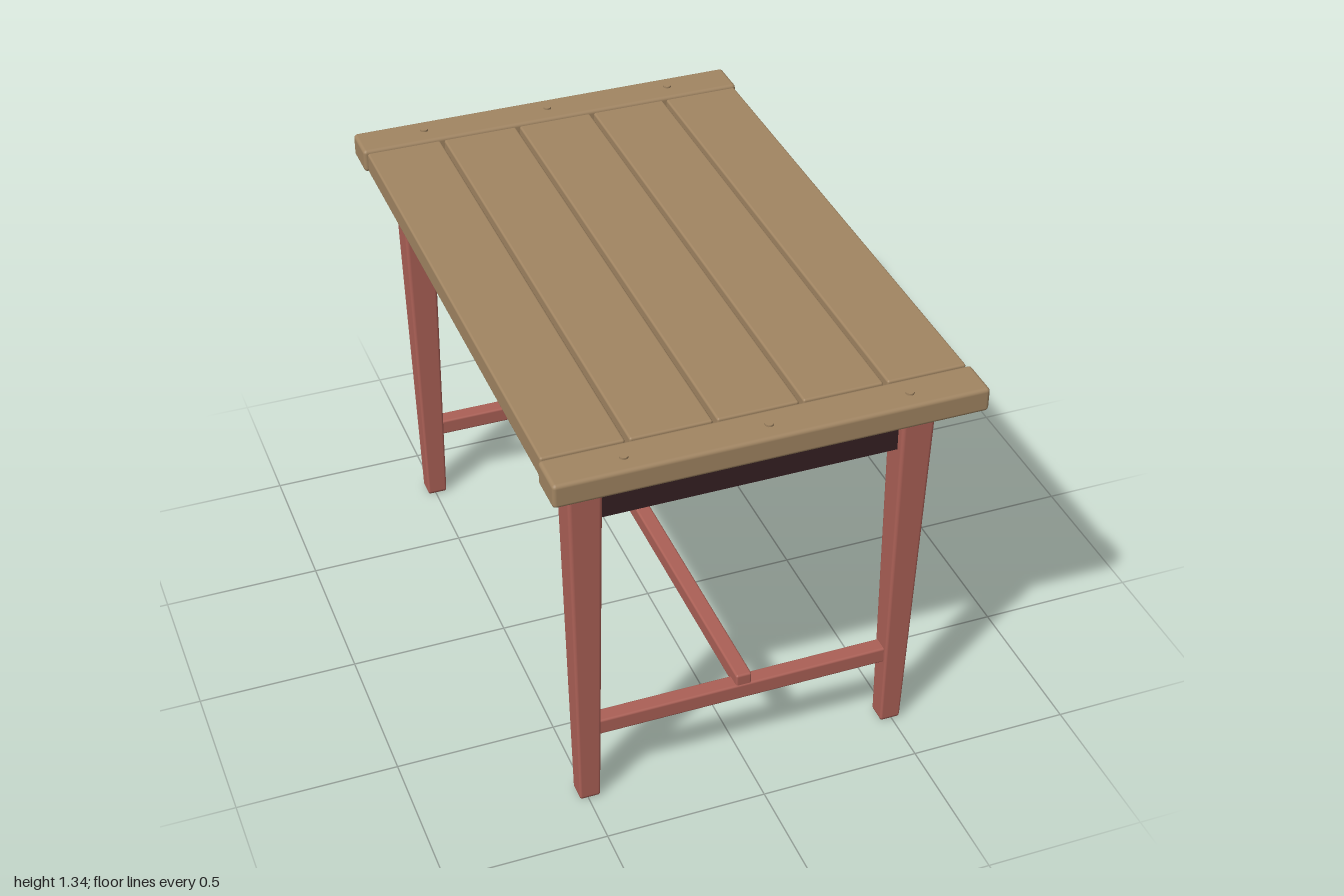
import * as THREE from 'three';
import { RoundedBoxGeometry } from 'three/addons/geometries/RoundedBoxGeometry.js';

const material = (name, color) => {
  const m = new THREE.MeshStandardMaterial({ color });
  m.name = name;
  return m;
};

export function createModel() {
  const wood = material('wood', 0xa18562);
  const red = material('red paint', 0xab6056);
  const dark = material('dark paint', 0x352023);
  const cream = material('cream drawer', 0xc9c6ba);
  const black = material('black panel', 0x060606);

  const table = new THREE.Group();
  table.name = 'table';

  const add = (name, geometry, mat, parent = table) => {
    const mesh = new THREE.Mesh(geometry, mat);
    mesh.name = name;
    parent.add(mesh);
    return mesh;
  };
  // Box given by its extents; r > 0 softens the edges
  const box = (name, mat, [x0, x1], [y0, y1], [z0, z1], r = 0, parent = table) => {
    const size = [x1 - x0, y1 - y0, z1 - z0];
    const g = r ? new RoundedBoxGeometry(...size, 2, r) : new THREE.BoxGeometry(...size);
    g.translate((x0 + x1) / 2, (y0 + y1) / 2, (z0 + z1) / 2);
    return add(name, g, mat, parent);
  };
  const span = (s, a, b) => (s > 0 ? [a, b] : [-b, -a]);

  // Table top: five planks between two end boards with pegs
  const top = new THREE.Group();
  top.name = 'tableTop';
  table.add(top);
  for (let i = -2; i <= 2; i++) {
    const x = i * 0.2545;
    box('plank', wood, [x - 0.121, x + 0.121], [1.262, 1.331], [-0.865, 0.865], 0.007, top);
  }
  for (const s of [1, -1]) {
    box('endBoard', wood, [-0.64, 0.64], [1.258, 1.334], span(s, 0.872, 1), 0.012, top);
    for (const x of [-0.42, 0, 0.42]) {
      add('peg', new THREE.CylinderGeometry(0.013, 0.013, 0.04, 12), wood, top).position.set(x, 1.32, s * 0.94);
    }
  }

  // Tapered legs: inner faces nearly straight, outer faces slope inwards
  const mix = THREE.MathUtils.lerp;
  const H = 1.258;
  for (const sx of [1, -1]) for (const sz of [1, -1]) {
    const g = new RoundedBoxGeometry(0.105, H, 0.105, 2, 0.012);
    const p = g.attributes.position;
    for (let i = 0; i < p.count; i++) {
      const t = p.getY(i) / H + 0.5;
      const w = mix(0.065, 0.105, t) / 0.105;
      p.setXYZ(i,
        p.getX(i) * w + sx * mix(0.494, 0.502, t),
        p.getY(i) + H / 2,
        p.getZ(i) * w + sz * mix(0.799, 0.808, t));
    }
    add('leg', g, red);
  }

  // Aprons on the ends and the plain long side
  const apronY = [1.056, 1.26];
  for (const s of [1, -1]) box('endApron', dark, [-0.46, 0.46], apronY, span(s, 0.78, 0.83));
  box('leftApron', dark, [-0.53, -0.485], apronY, [-0.77, 0.77]);

  // Drawer side apron: dark board with a red face
  for (const s of [1, -1]) {
    box('rightApron', dark, [0.485, 0.524], apronY, span(s, 0.375, 0.77));
    box('rightApronFace', red, [0.524, 0.53], apronY, span(s, 0.382, 0.77));
  }
  box('drawerRail', red, [0.485, 0.53], [1.224, 1.26], [-0.382, 0.382]);

  // Dark worn patches beside the legs
  const patches = [
    [[0.77, 1.056], [0.72, 1.056], [0.69, 1.1], [0.68, 1.14], [0.677, 1.2], [0.66, 1.26], [0.77, 1.26]],
    [[-0.77, 1.056], [-0.731, 1.056], [-0.729, 1.14], [-0.722, 1.21], [-0.69, 1.26], [-0.77, 1.26]],
  ];
  for (const pts of patches) {
    const shape = new THREE.Shape(pts.map(([z, y]) => new THREE.Vector2(-z, y)));
    const g = new THREE.ExtrudeGeometry(shape, { depth: 0.003, bevelEnabled: false });
    g.rotateY(Math.PI / 2).translate(0.53, 0, 0);
    add('wornPatch', g, dark);
  }

  // Drawer with front, knob, sides, back and bottom
  const drawer = new THREE.Group();
  drawer.name = 'drawer';
  table.add(drawer);
  box('drawerFront', cream, [0.495, 0.533], [1.058, 1.221], [-0.367, 0.367], 0.006, drawer);
  for (const s of [1, -1]) box('drawerSide', wood, [-0.3, 0.495], [1.07, 1.2], span(s, 0.33, 0.355), 0, drawer);
  box('drawerBack', wood, [-0.3, -0.275], [1.09, 1.2], [-0.33, 0.33], 0, drawer);
  box('drawerBottom', black, [-0.29, 0.495], [1.075, 1.085], [-0.335, 0.335], 0, drawer);
  const profile = [[0, 0], [0.012, 0], [0.011, 0.012], [0.022, 0.016], [0.027, 0.023], [0.023, 0.032], [0.012, 0.037], [0, 0.038]];
  const knob = add('knob', new THREE.LatheGeometry(profile.map(([r, y]) => new THREE.Vector2(r, y)), 20), cream, drawer);
  knob.rotation.z = -Math.PI / 2;
  knob.position.set(0.532, 1.138, 0);

  // H-shaped stretcher
  for (const s of [1, -1]) box('endStretcher', red, [-0.47, 0.47], [0.24, 0.294], span(s, 0.773, 0.825), 0.007);
  box('centreStretcher', red, [-0.025, 0.025], [0.275, 0.33], [-0.822, 0.822], 0.007);

  return table;
}
